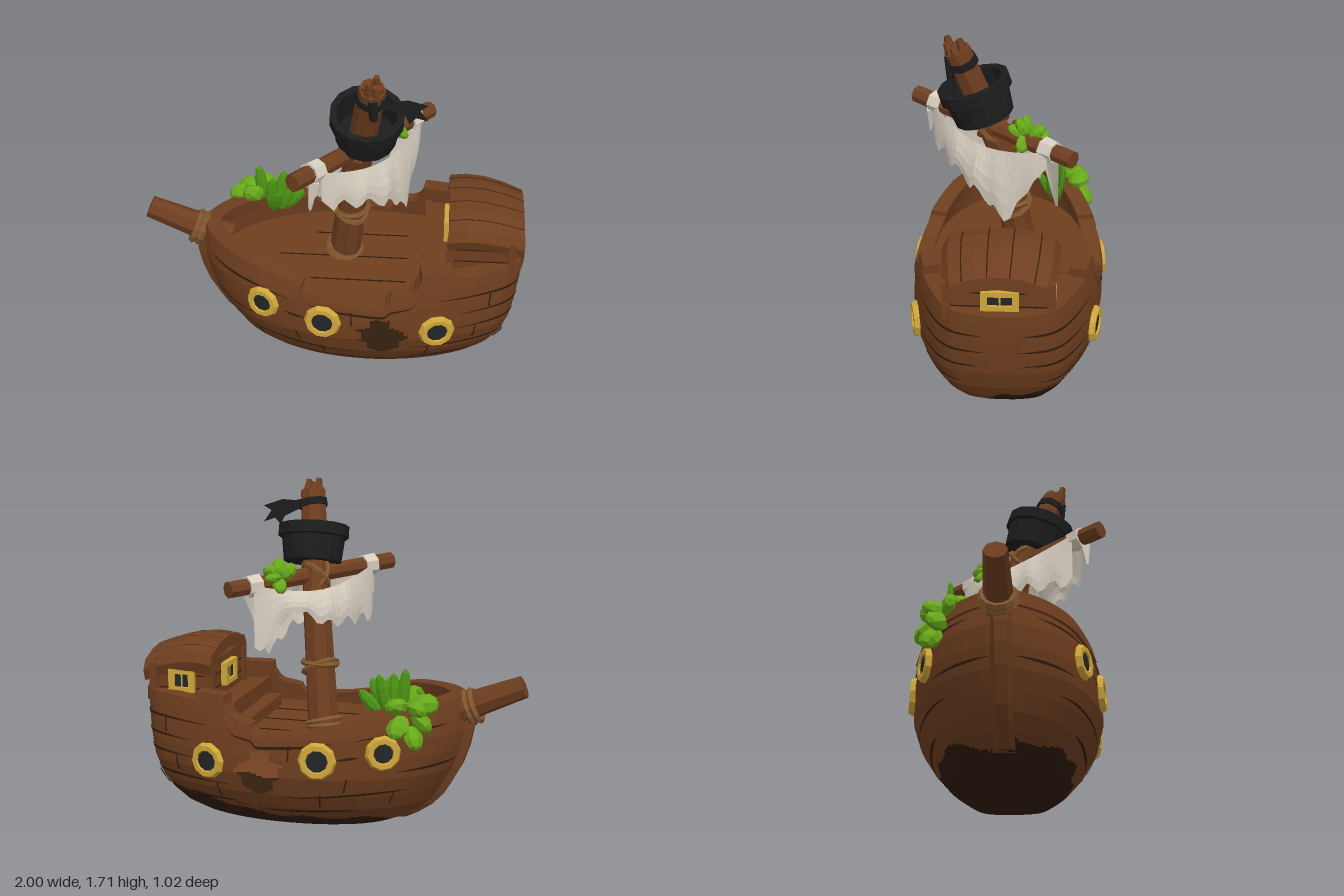
import * as THREE from 'three';

const V = (x, y, z) => new THREE.Vector3(x, y, z);
const UP = V(0, 1, 0);
const mat = (name, color, side = THREE.FrontSide) => {
  const m = new THREE.MeshStandardMaterial({ color, flatShading: true, side });
  m.name = name;
  return m;
};

// Piecewise linear lookup in [[x, y], ...]
const look = (table, x) => {
  if (x <= table[0][0]) return table[0][1];
  for (let i = 1; i < table.length; i++) {
    const [x0, y0] = table[i - 1], [x1, y1] = table[i];
    if (x <= x1) return y0 + ((y1 - y0) * (x - x0)) / (x1 - x0);
  }
  return table[table.length - 1][1];
};

// Surface through rows of points
function loft(rows, closed = false, cap = false, keep = () => true) {
  const n = rows[0].length, pos = [], idx = [];
  rows.forEach(r => r.forEach(p => pos.push(p.x, p.y, p.z)));
  for (let r = 0; r < rows.length - 1; r++)
    for (let c = 0; c < (closed ? n : n - 1); c++) {
      const c1 = (c + 1) % n, a = r * n + c, b = r * n + c1;
      if (keep(rows[r][c].clone().add(rows[r + 1][c1]).multiplyScalar(0.5))) idx.push(a, b, b + n, a, b + n, a + n);
    }
  if (cap) for (let c = 1, L = (rows.length - 1) * n; c < n - 1; c++) idx.push(0, c + 1, c, L, L + c, L + c + 1);
  const g = new THREE.BufferGeometry();
  g.setAttribute('position', new THREE.Float32BufferAttribute(pos, 3));
  g.setIndex(idx);
  g.computeVertexNormals();
  return g;
}

// Hull form: bow, stern and half-width by height, plan outline, sheer line
const BOW = [[0, -.35], [.05, -.45], [.12, -.53], [.2, -.58], [.3, -.635], [.4, -.67], [.5, -.69], [.68, -.67]];
const STERN = [[0, .7], [.05, .8], [.12, .87], [.2, .92], [.3, .955], [.4, .972], [.5, .983], [.68, .995]];
const WIDTH = [[0, .28], [.05, .34], [.12, .4], [.2, .45], [.3, .482], [.4, .482], [.5, .47], [.68, .435]];
const SHEER = [[-.7, .64], [-.4, .61], [-.15, .56], [.05, .52], [.29, .5], [.32, .535], [.43, .56], [.46, .62], [.8, .63], [.95, .63], [1, .62]];
const PLAN = [[0, 0], [.03, .28], [.1, .57], [.19, .77], [.34, .94], [.49, 1], [.61, .99], [.76, .9], [.91, .7], [.97, .54], [.995, .28], [1, 0]];
const HOLE = [[.14, .37], [.18, .34], [.16, .3], [.21, .27], [.22, .21], [.3, .2], [.36, .24], [.37, .29], [.41, .31], [.38, .36], [.33, .38], [.3, .43], [.23, .43], [.22, .38]];
const N = 320, DECK = .465;
const loop = [...PLAN, ...PLAN.slice(1, -1).reverse().map(([t, w]) => [t, -w])].map(([t, w]) => V(t, 0, w));
const plan = new THREE.CatmullRomCurve3(loop, true);
plan.arcLengthDivisions = 1000;
const outline = plan.getSpacedPoints(N);

const base = (i, y) => {
  const p = outline[((i % N) + N) % N], b = look(BOW, y);
  return V(b + (look(STERN, y) - b) * p.x, y, look(WIDTH, y) * p.z);
};
// Hull point, moved outward by o
const hp = (i, y, o = 0) => {
  const t = base(i + 2, y).sub(base(i - 2, y)).normalize();
  return base(i, y).add(V(-t.z * o, 0, t.x * o));
};
const top = i => look(SHEER, base(i, .55).x);
const indexAt = (x, y = .55) => { let i = 0; while (i < N / 2 && base(i, y).x < x) i++; return i; };
const range = (a, b) => Array.from({ length: b - a + 1 }, (_, k) => a + k);
const inHole = p => {
  let hit = false;
  HOLE.forEach(([x0, y0], i) => {
    const [x1, y1] = HOLE[(i + 1) % HOLE.length];
    if ((y0 > p.y) !== (y1 > p.y) && p.x < x0 + ((x1 - x0) * (p.y - y0)) / (y1 - y0)) hit = !hit;
  });
  return hit;
};
const stained = p => p.y < .042 + .01 * Math.sin(p.x * 23) + .01 * Math.sin(p.x * 9 + 2)
  + THREE.MathUtils.smoothstep(-p.z, -.1, .02) * (.1 * THREE.MathUtils.smoothstep(p.x, -.3, .8) + .02 * Math.sin(p.z * 20));

export function createModel() {
  const ship = new THREE.Group();
  const D = THREE.DoubleSide;
  const wood = mat('wood', 0x6e3e1f, D), dark = mat('darkWood', 0x2f1c0c, D), gold = mat('brass', 0xcfa638);
  const glass = mat('windowGlass', 0x222529), black = mat('blackCloth', 0x1c1c1d, D);
  const cloth = mat('sailCloth', 0xd6cdbf, D), rope = mat('rope', 0x80552c);
  const green = mat('bladeLeaf', 0x4c9413), lime = mat('broadLeaf', 0x68aa1a);
  const add = (name, g, m, parent = ship) => {
    const mesh = new THREE.Mesh(g, m);
    mesh.name = name;
    parent.add(mesh);
    return mesh;
  };
  const box = (name, m, w, h, d, x, y, z, parent) => {
    const b = add(name, new THREE.BoxGeometry(w, h, d), m, parent);
    b.position.set(x, y, z);
    return b;
  };
  const aim = (o, dir, from = UP) => { o.quaternion.setFromUnitVectors(from, dir.clone().normalize()); return o; };
  const rod = (name, a, b, r0, r1, m, sides = 8) => {
    const d = b.clone().sub(a);
    const r = aim(add(name, new THREE.CylinderGeometry(r1, r0, d.length(), sides), m), d);
    r.position.copy(a).lerp(b, .5);
    return r;
  };
  const ring = (name, p, axis, r, t, m) => {
    const o = aim(add(name, new THREE.TorusGeometry(r, t, 5, 12), m), axis, V(0, 0, 1));
    o.position.copy(p);
    return o;
  };

  // Hull skin with the broken hole on both sides and a stained bottom
  const rows = range(0, 72).map(j => range(0, N).map(i => hp(i, (top(i) * j) / 72)));
  add('hull', loft(rows, false, false, p => !inHole(p) && !stained(p)), wood);
  add('hullStain', loft(rows, false, false, stained), dark);
  const half = range(0, N / 2);
  add('hullBottom', loft(half.map(i => [hp(i, 0), hp(N - i, 0)])), dark);
  add('bulwarkInside', loft(range(0, N).map(i => [hp(i, top(i), -.05), hp(i, DECK - .02, -.05)])), wood);
  add('deck', loft(half.map(i => [hp(i, DECK, -.02), hp(N - i, DECK, -.02)])), wood);
  for (const z of [-.2, 0, .2]) box('deckSeam', dark, .7 - Math.abs(z), .004, .005, .06 + Math.abs(z) * .4, DECK + .002, z);

  // Rails along the sheer
  const k = indexAt(-.15), m = indexAt(.3), q = indexAt(.455), e = indexAt(.61);
  const rail = (name, a, b, lo, hi, out = .018, inn = -.075) => add(name, loft(range(a, b).map(i =>
    [hp(i, top(i) + lo, out), hp(i, top(i) + hi, out * .6), hp(i, top(i) + hi, inn), hp(i, top(i) + lo, inn)]), true, true), wood);
  rail('bowRail', -k, k, -.04, .04);
  rail('sternRail', m, N - m, -.035, .025, .01);
  for (const [a, b, c, d] of [[k, m, q, e], [N - m, N - k, N - e, N - q]]) {
    rail('waistRail', a, b, -.02, .012, .01);
    rail('quarterRail', c, d, .02, .07, .014);
  }

  // Plank seams and joints
  const seam = (v, x0, x1, side) => {
    const a = indexAt(x0, .4), b = indexAt(x1, .4);
    add('plankSeam', loft(range(a, b).map(i => {
      const w = .006 * Math.sin((Math.PI * (i - a)) / (b - a)) + .001, y = top(i) * v;
      return [hp(side * i, y - w, .004), hp(side * i, y + w, .004)];
    })), dark);
  };
  for (const s of [1, -1])
    for (const [v, x0, x1] of [[.2, -.3, .3], [.22, .35, .85], [.37, -.5, .1], [.38, .42, .95], [.55, -.66, -.42], [.56, .64, .968],
      [.73, -.24, -.12], [.7, .66, .97], [.88, -.6, -.2], [.89, -.1, .45], [.85, .55, .969]]) seam(v, x0, x1, s);
  for (const [x, v] of [[-.45, .25], [-.08, .25], [.5, .24], [.75, .42], [-.2, .4], [.1, .76], [.8, .72], [.93, .22]])
    for (const s of [1, -1]) {
      const i = indexAt(x, .4) * s, y = top(i) * v;
      add('plankJoint', loft(range(0, 4).map(j => [hp(i, y + j * .02, .004), hp(i, y + j * .02, .004).add(V(.008, 0, 0))])), dark);
    }

  // Stem post and bowsprit
  add('stemPost', loft([0, .03, .08, .14, .2, .3, .4, .5, .58].map(y => {
    const x = look(BOW, y);
    return [V(x - .035, y, -.03), V(x - .035, y, .03), V(x + .05, y, .07), V(x + .05, y, -.07)];
  }), true, true), wood);
  const sprit = V(-.4, .17, 0);
  rod('bowsprit', V(-.56, .555, -.01), V(-.975, .73, -.01), .08, .058, wood);
  for (const t of [0, .03]) ring('bowRope', V(-.7 - t, .605 + t * .4, -.01), sprit, .08, .019, rope);

  // Portholes on both sides
  for (const [x, y, r] of [[-.348, .44, .066], [-.035, .4, .072], [.55, .35, .07]])
    for (const s of [1, -1]) {
      const i = indexAt(x, y) * s, p = hp(i, y);
      const n = hp(i + 1, y).sub(hp(i - 1, y)).cross(hp(i, y + .03).sub(hp(i, y - .03))).normalize();
      if (n.z * s < 0) n.negate();
      const port = new THREE.Group();
      port.name = 'porthole';
      add('portholeRing', new THREE.TorusGeometry(r, .025, 6, 10), gold, port).scale.z = 1.1;
      add('portholeGlass', new THREE.CylinderGeometry(r, r, .03, 9), glass, port).rotation.x = Math.PI / 2;
      aim(port, n, V(0, 0, 1)).position.copy(p);
      ship.add(port);
    }

  // Stern deck and cabin
  const pd = indexAt(.47);
  add('sternDeck', loft(range(pd, N / 2).map(i => [hp(i, .6, -.02), hp(N - i, .6, -.02)])), wood);
  box('sternBulkhead', wood, .03, .16, .84, .49, .53, 0);
  box('sternStep', wood, .09, .07, .6, .44, .49, 0);
  box('cabin', wood, .32, .22, .48, .765, .7, .01);
  for (const x of [.61, .92]) for (const z of [-.235, .255]) box('cabinPost', wood, .04, .2, .04, x, .69, z);
  for (const y of [.66, .73]) box('cabinSeam', dark, .324, .006, .484, .765, y, .01);
  const ARCH = [[-.285, -.1], [-.255, -.05], [-.13, -.012], [0, 0], [.13, -.012], [.255, -.05], [.285, -.1]];
  // stations: x, ridge height, width scale
  const ROOF = [[.595, .9, 1], [.68, .912, 1], [.78, .905, .98], [.88, .88, .94], [.978, .845, .88]];
  const arch = ([x, y, s], drop, shrink) => ARCH.map(([z, dy]) => V(x, y + dy * shrink - drop, z * s * shrink + .01));
  const rim = r => [arch(r, 0, 1), arch(r, .065, .93)];
  add('cabinRoof', loft(ROOF.map(r => [...rim(r)[0], ...rim(r)[1].reverse()]), true), wood);
  for (const r of [ROOF[0], ROOF[4]]) add('roofEnd', loft(rim(r)), wood);
  for (const z of [-.19, -.06, .06, .19])
    add('roofSeam', loft(ROOF.map(([x, y, s]) => [-.003, .003].map(w => V(x, y + look(ARCH, z) + .003, z * s + w + .01)))), dark);
  const window_ = (x, y, z, ry, w, h) => {
    const g = new THREE.Group();
    g.name = 'cabinWindow';
    box('windowGlass', glass, w - .04, h - .03, .008, 0, 0, .008, g);
    for (const s of [1, -1]) {
      box('windowFrame', gold, w, .026, .03, 0, s * (h / 2 - .013), .01, g);
      box('windowFrame', gold, .032, h, .032, s * (w / 2 - .016), 0, .01, g);
    }
    box('windowBar', gold, .008, h - .03, .012, 0, 0, .01, g);
    g.position.set(x, y, z);
    g.rotation.y = ry;
    ship.add(g);
  };
  window_(.925, .698, .005, Math.PI / 2, .18, .1);
  window_(.6, .712, -.005, -Math.PI / 2, .17, .12);
  window_(.765, .705, -.23, Math.PI, .14, .12);

  // Mast with a splintered head and ropes
  const m0 = V(.05, .44, -.07), m1 = V(.12, 1.1, .04), m2 = V(.198, 1.65, .25);
  rod('mastLower', m0, m1, .083, .073, wood);
  rod('mastUpper', m1, m2, .073, .066, wood);
  for (let a = 0; a < 6; a++) {
    const o = V(Math.cos(a * 1.047) * .036, 0, Math.sin(a * 1.047) * .036);
    rod('mastSplinter', m2.clone().add(o).add(V(0, -.03, -.01)), m2.clone().add(o).add(V(0, .02 + .02 * (a % 3), .018)), .032, .016, wood, 5);
  }
  const lean = m1.clone().sub(m0);
  for (const [t, tilt] of [[.05, 0], [.08, .1], [.5, .25], [.53, -.1]])
    ring('mastRope', m0.clone().lerp(m1, t), lean.clone().add(V(tilt, 0, tilt * .5)), .09, .015, rope);

  // Crow's nest
  const nest = add('crowsNest', new THREE.LatheGeometry([[0, -.08], [.15, -.08], [.165, .045], [.184, .05], [.184, .11],
    [.15, .11], [.14, -.04], [0, -.04]].map(([x, y]) => new THREE.Vector2(x, y)), 14), black);
  aim(nest, V(.04, 1, .32)).position.set(.168, 1.37, .145);

  // Black ribbon round the mast head
  rod('ribbonBand', V(.185, 1.568, .218), V(.193, 1.603, .23), .077, .075, black);
  rod('ribbonKnot', V(.2, 1.61, .285), V(.21, 1.5, .28), .03, .022, black, 5);
  const tail = [[.2, 1.62], [.3, 1.595], [.37, 1.6], [.47, 1.565], [.43, 1.54], [.47, 1.48], [.41, 1.5], [.38, 1.465], [.36, 1.51], [.29, 1.545], [.2, 1.575]];
  const tailMesh = add('ribbonTail', new THREE.ShapeGeometry(new THREE.Shape(tail.map(([x, y]) => new THREE.Vector2(x - .2, y)))), black);
  tailMesh.position.set(.2, 0, .28);
  tailMesh.rotation.y = .15;

  // Yard and its lashings
  const yA = V(-.165, 1.26, .49), yB = V(.475, 1.205, -.32), along = yB.clone().sub(yA);
  rod('yard', yA, yB, .046, .044, wood);
  for (const s of [.8, -.8]) ring('yardRope', V(.135, 1.23, .08), along.clone().add(V(0, s, 0)), .085, .014, rope);
  for (const t of [.15, .86]) {
    const p = yA.clone().lerp(yB, t), d = along.clone().multiplyScalar(.035);
    rod('sailKnot', p.clone().sub(d), p.clone().add(d), .06, .055, cloth, 7);
    rod('sailKnotTail', p.clone().add(V(0, -.03, .04)), p.clone().add(V(-.02, -.16, .05)), .035, .006, cloth, 4);
  }

  // Torn sail sheets on both sides of the yard
  const sheet = (sign, hem) => add('sail', loft(range(0, 4).map(j => range(0, 26).map(c => {
    const u = c / 26, v = j / 4, s = Math.sin(Math.PI * u);
    const p = yA.clone().lerp(yB, .15 + .73 * u), y0 = p.y + .01 - .07 * s;
    const out = sign * (.045 + .1 * s * (.6 + .5 * Math.sin(v * 2)) + .006 * Math.sin(c * 1.1) * v);
    return V(p.x + .785 * out, y0 + (look(hem, u) - y0) * v, p.z + .62 * out);
  }))), cloth);
  sheet(1, [[0, 1.1], [.08, 1.02], [.14, 1.08], [.24, .99], [.32, 1.04], [.45, .93], [.51, .98], [.6, .87], [.66, .89], [.75, .79], [.82, .95], [.87, .97], [.93, 1.07], [1, 1.14]]);
  sheet(-1, [[0, 1.02], [.06, .94], [.13, 1.03], [.22, .95], [.3, 1.03], [.4, .96], [.48, 1.03], [.56, .99], [.64, 1.07], [.75, 1.08], [.83, 1.06], [.88, .98], [.95, .88], [1, .9]]);

  // Foliage at the bow and on the yard
  const leaf = (m_, p, d, len, w, flat = .6) => {
    d.normalize();
    const l = add('leaf', new THREE.SphereGeometry(1, 7, 5), m_);
    l.scale.set(w, len / 2, w * flat);
    aim(l, d).position.copy(p).addScaledVector(d, len / 2);
  };
  for (const [x, z, dx, dz, len] of [[-.42, -.24, -.5, .1, .16], [-.4, -.26, -.1, 0, .25], [-.36, -.22, .06, .1, .21], [-.33, -.25, .2, -.1, .22],
    [-.31, -.21, .45, .1, .19], [-.29, -.24, .9, 0, .16], [-.35, -.2, .3, .4, .18]]) // upright blades
    leaf(green, V(x, .6, z), V(dx, 1, dz), len, .034);
  for (const [x, y, z, dx, dy, dz, len] of [[-.46, .66, -.26, -.8, .1, .1, .13], [-.45, .66, -.28, -.6, .05, -.7, .13], [-.42, .66, -.3, .3, .2, -.7, .12],
    [-.47, .62, -.28, -.7, -.4, -.5, .13], [-.42, .62, -.32, .1, -.5, -.6, .14], [-.46, .57, -.31, -.3, -.7, -.45, .13],
    [-.42, .65, -.24, -.3, .4, .2, .12]]) // broad leaves over the side
    leaf(lime, V(x, y, z), V(dx, dy, dz), len, .06, .7);
  for (const [dx, dy, dz] of [[0, .4, .9], [.3, .4, -.5], [-.5, .4, .1], [.2, .1, -.9], [.6, -.3, .3], [-.3, -.5, -.7], [.1, .5, .3]])
    leaf(lime, V(.28, 1.24, -.1), V(dx, dy, dz), .11, .042, .7);

  return ship;
}
